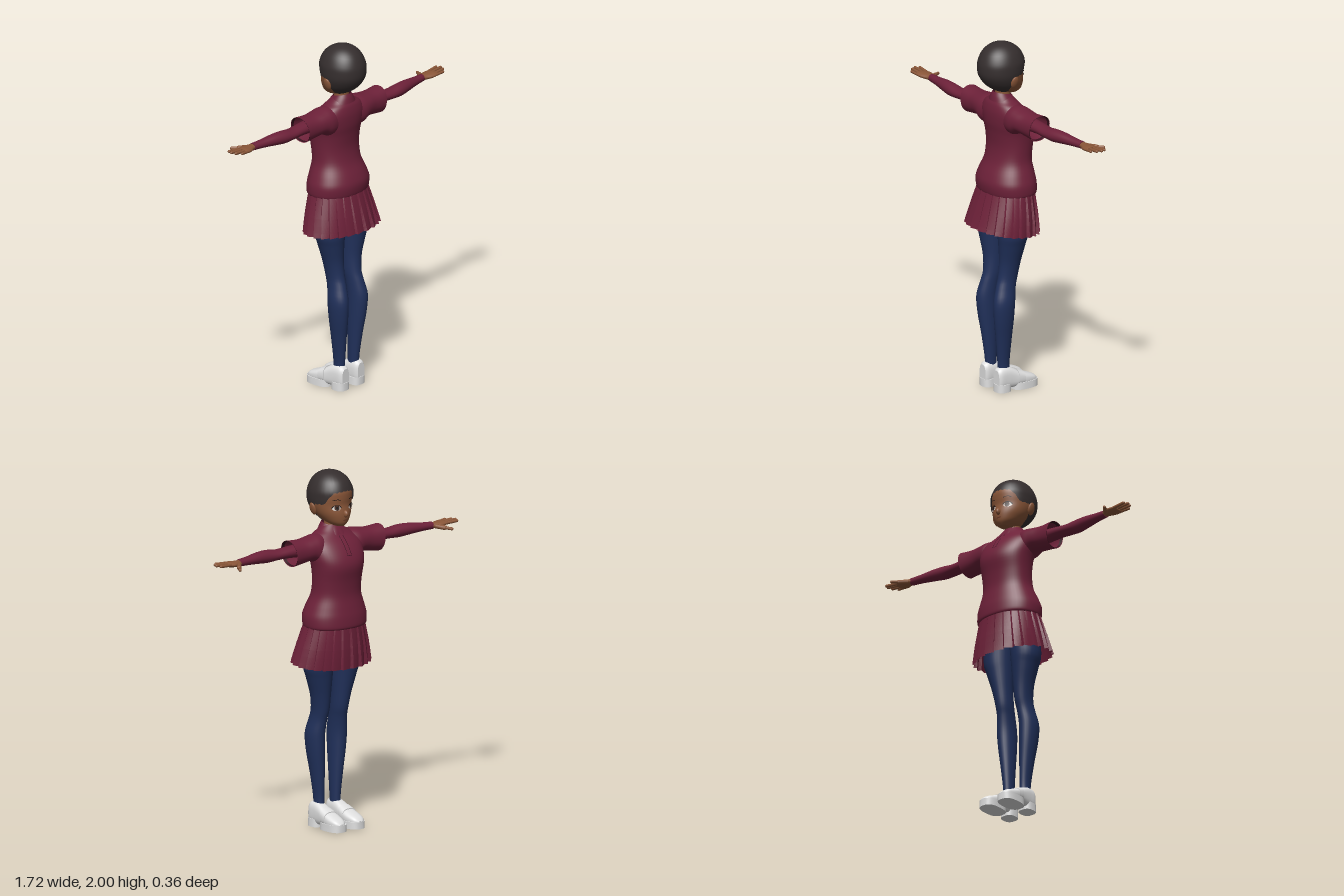
import * as THREE from 'three';

const mat = (name, color) => new THREE.MeshStandardMaterial({ name, color, side: THREE.DoubleSide });

// Catmull-Rom blend of cross-section rows at row position t
function rowAt(rows, t) {
  const i = Math.max(0, Math.min(Math.floor(t), rows.length - 2)), f = t - i;
  const R = k => rows[Math.max(0, Math.min(k, rows.length - 1))];
  const [a, b, c, d] = [R(i - 1), R(i), R(i + 1), R(i + 2)];
  return b.map((_, k) => 0.5 * (2 * b[k] + (c[k] - a[k]) * f + (2 * a[k] - 5 * b[k] + 4 * c[k] - d[k]) * f * f
    + (3 * b[k] - a[k] - 3 * c[k] + d[k]) * f * f * f));
}

// Point of a superellipse section; row = [height, min1, max1, min2, max2]
function ringPoint(row, a, p, grow = 0) {
  const pw = v => Math.sign(v) * Math.pow(Math.abs(v), 2 / p);
  const [h, l, r, f, b] = row;
  return [(l + r) / 2 + ((r - l) / 2 + grow) * pw(Math.cos(a)), h, (f + b) / 2 + ((b - f) / 2 + grow) * pw(Math.sin(a))];
}

// Loft through rows along an axis; lo/hi give the row range, which may vary with the angle
function loft(rows, { n = 32, sub = 4, p = 2, axis = 'y', grow = 0, lo = () => 0, hi = rows.length - 1, caps = false, warp } = {}) {
  const m = sub * (rows.length - 1), pos = [], idx = [], flip = axis !== 'y';
  const tri = (a, b, c) => flip ? idx.push(a, c, b) : idx.push(a, b, c);
  const put = ([u, h, w]) => pos.push(...(axis === 'y' ? [u, h, w] : axis === 'x' ? [h, u, w] : [u, w, h]));
  const ring = i => {
    for (let j = 0; j < n; j++) {
      const a = j / n * Math.PI * 2, t = lo(a) + (hi - lo(a)) * i / m;
      const q = ringPoint(rowAt(rows, t), a, p, grow);
      put(warp ? warp(q, a, i / m, j) : q);
    }
  };
  for (let i = 0; i <= m; i++) ring(i);
  for (let i = 0; i < m; i++) for (let j = 0; j < n; j++) {
    const a = i * n + j, b = i * n + (j + 1) % n;
    tri(a, a + n, b); tri(b, a + n, b + n);
  }
  if (caps) for (const i of [0, m]) {
    const s = pos.length / 3;
    ring(i);
    const c = [0, 0, 0];
    for (let j = 0; j < n; j++) for (let k = 0; k < 3; k++) c[k] += pos[(s + j) * 3 + k] / n;
    pos.push(...c);
    for (let j = 0; j < n; j++) i ? tri(s + j, s + n, s + (j + 1) % n) : tri(s + j, s + (j + 1) % n, s + n);
  }
  const g = new THREE.BufferGeometry();
  g.setAttribute('position', new THREE.Float32BufferAttribute(pos, 3));
  g.setIndex(idx);
  g.computeVertexNormals();
  return g;
}

// Copy reflected in x, with corner order restored
function mirror(geo) {
  const g = geo.clone().scale(-1, 1, 1), ix = g.index.array;
  for (let i = 0; i < ix.length; i += 3) [ix[i], ix[i + 1]] = [ix[i + 1], ix[i]];
  g.computeVertexNormals();
  return g;
}

// Lays a flat geometry on the -z side of a lofted body
function decal(geo, rows, p, lift) {
  const P = geo.attributes.position;
  for (let i = 0; i < P.count; i++) {
    const x = P.getX(i), y = P.getY(i);
    let a = 0, b = rows.length - 1;
    for (let k = 0; k < 24; k++) { const c = (a + b) / 2; rowAt(rows, c)[0] < y ? a = c : b = c; }
    const [, l, r, f, k] = rowAt(rows, a);
    const q = Math.min(1, Math.abs((x - (l + r) / 2) / ((r - l) / 2)));
    P.setZ(i, (f + k) / 2 - (k - f) / 2 * Math.pow(1 - Math.pow(q, p), 1 / p) - lift);
  }
  geo.computeVertexNormals();
  return geo;
}

const sym = rows => rows.map(([y, rx, f, b]) => [y, -rx, rx, f, b]);

const HEAD = sym([[1.70, .03, -.105, -.02], [1.72, .062, -.118, .035], [1.75, .087, -.124, .085], [1.78, .104, -.124, .115],
  [1.82, .117, -.118, .137], [1.86, .12, -.122, .142], [1.90, .116, -.12, .137], [1.95, .092, -.094, .112],
  [1.985, .052, -.046, .068], [2.0, 0, .01, .01]]);
const TORSO = sym([[1.135, .18, -.166, .106], [1.15, .188, -.172, .115], [1.20, .188, -.17, .12], [1.25, .172, -.162, .105],
  [1.32, .147, -.152, .075], [1.40, .146, -.158, .062], [1.48, .154, -.172, .068], [1.54, .165, -.158, .078],
  [1.60, .165, -.122, .08], [1.645, .128, -.08, .072], [1.67, .085, -.062, .06], [1.70, .05, -.042, .052]]);

export function createModel() {
  const model = new THREE.Group();
  const skin = mat('brown skin', 0x8a5638), hairMat = mat('dark hair', 0x352e2e), cloth = mat('maroon cloth', 0x6d2139);
  const seam = mat('dark seam', 0x35101c), tights = mat('navy tights', 0x20305a), white = mat('shoe white', 0xe0e0e0);
  const eyeWhite = mat('eye white', 0xe8e4e0), iris = mat('brown iris', 0x4a2c22), black = mat('lash black', 0x17110f);
  const lip = mat('lip brown', 0x6b3a2a);
  const add = (name, geo, m) => {
    const mesh = new THREE.Mesh(geo, m);
    mesh.name = name;
    model.add(mesh);
    return mesh;
  };
  const pair = (name, geo, m) => { add(name + 'Left', geo, m); add(name + 'Right', mirror(geo), m); };

  // Head, neck and nose
  add('head', loft(HEAD, { n: 48, grow: -.004, hi: 8.4, caps: true }), skin);
  add('neck', loft(sym([[1.63, .05, -.05, .045], [1.69, .042, -.042, .04], [1.76, .042, -.045, .04]])), skin);
  const nose = new THREE.SphereGeometry(1, 16, 12).scale(.012, .02, .02);
  add('nose', nose.rotateX(.35).translate(0, 1.772, -.12), skin);
  pair('ear', new THREE.SphereGeometry(1, 16, 12).scale(.011, .036, .024).rotateZ(-.3).translate(.124, 1.797, .008), skin);

  // Cropped hair with a jagged hairline
  const line = [[0, 6.1], [.6, 5.9], [.85, 5], [.98, 4.3], [1.45, 4.2], [1.7, 2.8], [2, 1.5], [2.4, 1], [3.2, .8]];
  const hairline = a => {
    const f = Math.abs(Math.atan2(Math.cos(a), -Math.sin(a)));
    const k = Math.max(1, line.findIndex(q => q[0] >= f));
    const [a0, b0] = line[k - 1], [a1, b1] = line[k];
    const jag = f < 1.5 ? .35 * Math.abs((f * 4.5 % 1) - .5) : 0;
    return b0 + (b1 - b0) * (f - a0) / (a1 - a0) - jag;
  };
  add('hair', loft(HEAD, { n: 96, sub: 3, grow: .003, lo: hairline,
    warp: (q, a, t) => t > .999 ? [0, 2, .01] : q }), hairMat);

  // Eyes, brows and mouth
  const disc = (x, y, rx, ry) => new THREE.RingGeometry(.001, 1, 24, 4).scale(rx, ry, 1).translate(x, y, 0);
  const arc = (x, y, rx, ry, inner, from, len) =>
    new THREE.RingGeometry(inner, 1, 20, 2, from, len).scale(rx, ry, 1).translate(x, y, 0);
  const face = (name, geo, m, lift) => pair(name, decal(geo, HEAD, 2, lift), m);
  face('eyeWhite', disc(.05, 1.807, .022, .014), eyeWhite, -.001);
  face('iris', disc(.048, 1.808, .013, .0145), iris, .0005);
  face('pupil', disc(.048, 1.808, .006, .008), black, .0015);
  face('lash', arc(.05, 1.806, .026, .019, .78, .1, 2.9), black, .002);
  face('brow', arc(.05, 1.845, .026, .012, .75, .5, 2.1), black, .001);
  add('mouth', decal(disc(0, 1.737, .016, .0035), HEAD, 2, -.001), lip);

  // Shirt body, collar and placket
  add('shirt', loft(TORSO, { n: 48, p: 2.2 }), cloth);
  const collarRows = sym([[1.668, .084, -.078, .07], [1.695, .066, -.062, .064], [1.718, .05, -.045, .055]]);
  add('collar', loft(collarRows, { n: 64, warp: ([x, y, z], a, t) => {
    const f = Math.abs(Math.atan2(Math.cos(a), -Math.sin(a)));
    const point = Math.max(0, 1 - Math.abs(f - .5) / .45) * (1 - t);
    return [x, y - .022 * (1 + Math.cos(f)) / 2 - .028 * point, z - .024 * point];
  } }), cloth);
  for (const x of [-.013, .013])
    add('placketSeam', decal(new THREE.PlaneGeometry(.003, .1, 1, 12).translate(x, 1.595, 0), TORSO, 2.2, .002), seam);
  add('placketEnd', decal(new THREE.PlaneGeometry(.029, .003, 4, 1).translate(0, 1.545, 0), TORSO, 2.2, .002), seam);

  // Short sleeves over long fitted arms
  const sleeve = loft([[.07, 1.50, 1.655, -.07, .06], [.13, 1.495, 1.658, -.092, .068], [.18, 1.517, 1.65, -.09, .062],
    [.24, 1.512, 1.645, -.085, .052], [.315, 1.502, 1.651, -.088, .05]],
  { axis: 'x', p: 2.2, warp: ([u, h, w], a, t) => [u, h + .01 * t * Math.cos(a), w] });
  pair('sleeve', sleeve, cloth);
  const cuffRim = loft([[.298, 1.508, 1.645, -.082, .044], [.314, 1.505, 1.648, -.085, .047]],
    { axis: 'x', p: 2.2, warp: ([u, h, w], a) => [u, h + .01 * Math.cos(a), w] });
  pair('sleeveLining', cuffRim, seam);
  const arm = loft([[.14, 1.54, 1.63, -.06, .035], [.32, 1.553, 1.617, -.054, .031], [.40, 1.553, 1.612, -.05, .034],
    [.47, 1.549, 1.62, -.048, .032], [.54, 1.555, 1.619, -.05, .02], [.62, 1.562, 1.61, -.052, .002],
    [.69, 1.565, 1.606, -.055, -.01]], { axis: 'x', n: 24, caps: true });
  pair('arm', arm, cloth);

  // Hands
  const palm = loft([[.675, 1.569, 1.602, -.052, -.013], [.70, 1.568, 1.602, -.06, -.01], [.735, 1.57, 1.602, -.072, .006],
    [.765, 1.574, 1.603, -.068, .012], [.782, 1.58, 1.6, -.062, .01]], { axis: 'x', n: 20, caps: true });
  pair('palm', palm, skin);
  const finger = (from, to, r) => {
    const a = new THREE.Vector3(...from), b = new THREE.Vector3(...to), d = b.clone().sub(a);
    const g = new THREE.CapsuleGeometry(r, d.length(), 4, 10);
    g.applyQuaternion(new THREE.Quaternion().setFromUnitVectors(new THREE.Vector3(0, 1, 0), d.clone().normalize()));
    return g.translate(...a.add(b).multiplyScalar(.5).toArray());
  };
  [[[.76, 1.589, -.058], [.842, 1.594, -.066], .0085], [[.765, 1.591, -.037], [.852, 1.596, -.041], .0085],
    [[.765, 1.59, -.016], [.842, 1.595, -.016], .0085], [[.76, 1.588, .003], [.818, 1.593, .008], .0075],
    [[.705, 1.582, -.055], [.735, 1.576, -.092], .013], [[.73, 1.577, -.088], [.757, 1.572, -.126], .0085],
  ].forEach((f, i) => pair(i < 4 ? 'finger' : 'thumb', finger(...f), skin));

  // Pleated skirt, flat-faced so folds stay crisp
  const skirtRows = sym([[.925, .232, -.168, .172], [1.03, .212, -.166, .145], [1.165, .178, -.155, .106]]);
  const skirt = loft(skirtRows, { n: 144, sub: 3, p: 2.15, warp: ([x, y, z], a, t, j) => {
    const k = 1 + ((j % 6) / 5 - .45) * .085 * (1 - .8 * t);
    return [x * k, y + .015 * Math.sin(a) * (1 - t), z * k];
  } }).toNonIndexed();
  skirt.computeVertexNormals();
  add('skirt', skirt, cloth);

  // Legs
  const leg = loft([[.09, .032, .088, 0, .07], [.16, .031, .085, 0, .072], [.30, .03, .102, -.008, .088],
    [.42, .03, .12, -.015, .105], [.52, .03, .127, -.02, .11], [.60, .027, .115, -.03, .09], [.66, .022, .113, -.045, .073],
    [.75, .02, .128, -.06, .067], [.85, .015, .158, -.078, .077], [.93, .01, .178, -.09, .085], [1.12, 0, .165, -.1, .08]], { n: 28 });
  pair('leg', leg, tights);

  // Loafers: upper, instep strap, front sole and heel
  const upper = loft([[-.172, .05, .085, .02, .045], [-.15, .029, .105, .015, .064], [-.10, .017, .114, .015, .084],
    [-.05, .019, .111, .015, .104], [-.01, .022, .106, .012, .126], [.03, .024, .103, .012, .14],
    [.07, .026, .1, .012, .138], [.088, .036, .09, .015, .125]],
  { axis: 'z', p: 2.7, caps: true, warp: ([u, h, w]) => [u, h, Math.max(w, .018)] });
  pair('shoeUpper', upper, white);
  const strap = loft([[-.075, .016, .115, .02, .099], [-.055, .016, .114, .02, .107], [-.035, .018, .112, .02, .116]],
    { axis: 'z', p: 2.6, caps: true });
  pair('shoeStrap', strap, white);
  const block = (l, r, f, b, h) => loft([[0, l, r, f, b], [h, l, r, f, b]], { p: 2.7, sub: 1, caps: true });
  pair('shoeSole', block(.012, .118, -.176, -.012, .04), white);
  pair('shoeHeel', block(.02, .106, .003, .092, .045), white);

  return model;
}
